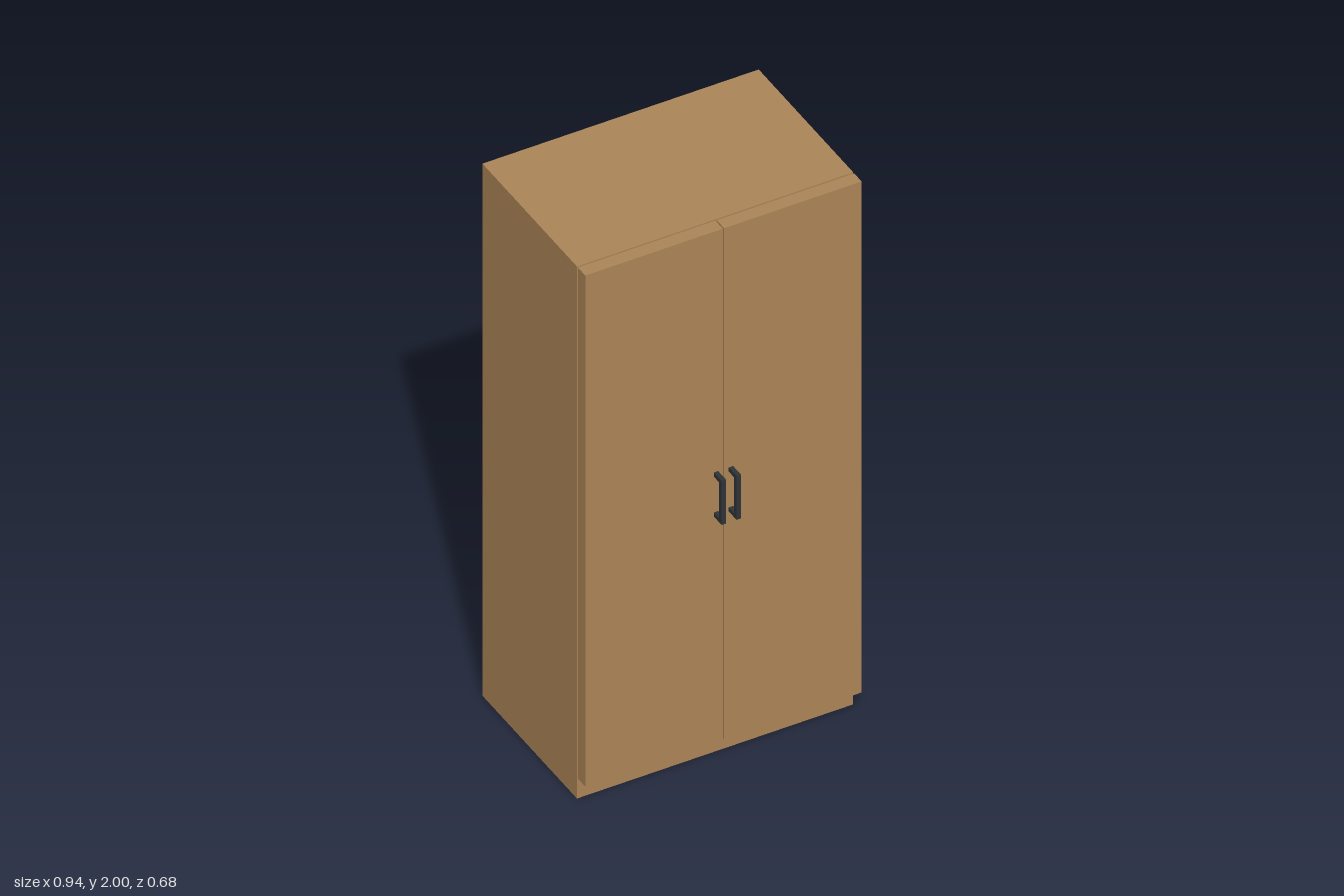
import * as THREE from 'three';

const wood = new THREE.MeshStandardMaterial({ color: 0xad8658, side: THREE.DoubleSide });
wood.name = 'oak wood';
const metal = new THREE.MeshStandardMaterial({ color: 0x2f3437 });
metal.name = 'dark metal';

// Box given by its min and max corners
function boxMesh(name, material, [x0, y0, z0], [x1, y1, z1]) {
  const geometry = new THREE.BoxGeometry(x1 - x0, y1 - y0, z1 - z0);
  geometry.translate((x0 + x1) / 2, (y0 + y1) / 2, (z0 + z1) / 2);
  const mesh = new THREE.Mesh(geometry, material);
  mesh.name = name;
  return mesh;
}

export function createModel() {
  const model = new THREE.Group();
  model.name = 'wardrobe';
  const W = 0.472, H = 2;

  // Carcass: a thin shell, open underneath (the bottom face is left out)
  const carcass = boxMesh('carcass', wood, [-W, 0, -0.338], [W, H, 0.239]);
  const index = Array.from(carcass.geometry.index.array);
  index.splice(18, 6);
  carcass.geometry.setIndex(index);
  carcass.geometry.clearGroups();
  model.add(carcass);

  // Recessed strip that leaves a shadow gap behind the doors
  model.add(boxMesh('doorSpacer', wood, [-0.455, 0.1, 0.239], [0.455, 1.975, 0.245]));

  // Bracket handle profile, drawn in depth and height
  const t = 0.015, depth = 0.048, low = 0.93, high = 1.095;
  const profile = new THREE.Shape([
    [0, low], [depth, low], [depth, high], [0, high],
    [0, high - t], [depth - t, high - t], [depth - t, low + t], [0, low + t],
  ].map(([x, y]) => new THREE.Vector2(x, y)));
  const handleGeometry = new THREE.ExtrudeGeometry(profile, { depth: t, bevelEnabled: false });
  handleGeometry.translate(0, 0, -t / 2);
  handleGeometry.rotateY(-Math.PI / 2);

  // Two doors, each with a handle beside the middle gap
  for (const [side, s] of [['left', 1], ['right', -1]]) {
    const inner = 0.002 * s, outer = W * s;
    model.add(boxMesh(side + 'Door', wood,
      [Math.min(inner, outer), 0.079, 0.245], [Math.max(inner, outer), H, 0.29]));

    const handle = new THREE.Mesh(handleGeometry, metal);
    handle.name = side + 'Handle';
    handle.position.set(0.0255 * s, 0, 0.29);
    model.add(handle);
  }
  return model;
}
